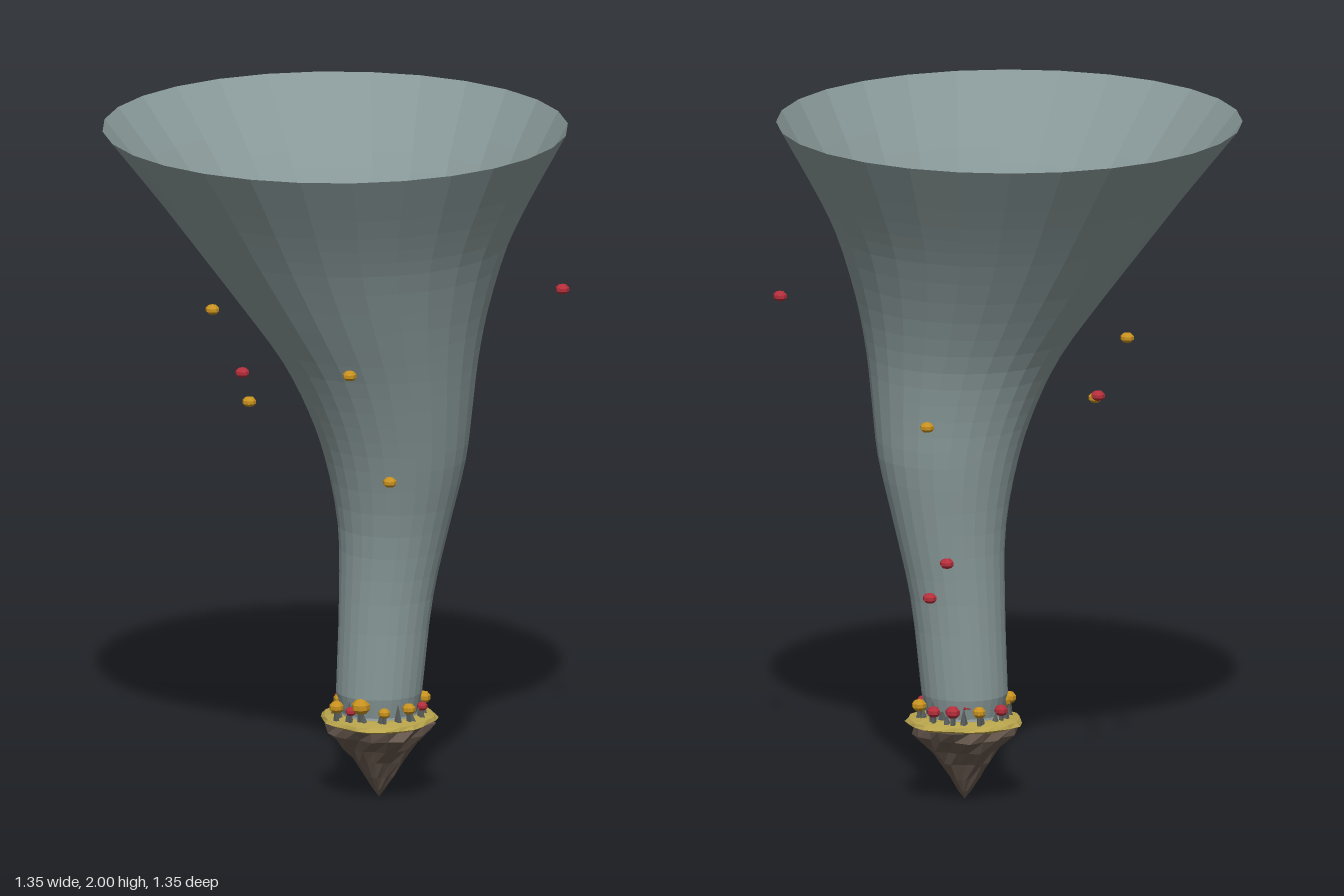
import * as THREE from 'three';

const mat = (name, color, extra = {}) =>
  new THREE.MeshStandardMaterial({ name, color, flatShading: true, ...extra });

const CX = 0.12, CZ = -0.055; // axis of the island

// Closed rings [y, centre x, centre z, radius] joined into a tube
function loft(rings, sides, wobble = () => 1) {
  const pos = [], idx = [];
  rings.forEach(([y, cx, cz, r], i) => {
    for (let j = 0; j < sides; j++) {
      const a = (j / sides) * Math.PI * 2, k = r * wobble(a, i);
      pos.push(cx + Math.sin(a) * k, y, cz + Math.cos(a) * k);
    }
  });
  for (let i = 0; i < rings.length - 1; i++) {
    for (let j = 0; j < sides; j++) {
      const a = i * sides + j, b = i * sides + (j + 1) % sides;
      idx.push(a, b, b + sides, a, b + sides, a + sides);
    }
  }
  const g = new THREE.BufferGeometry();
  g.setAttribute('position', new THREE.Float32BufferAttribute(pos, 3));
  g.setIndex(idx);
  g.computeVertexNormals();
  return g;
}

export function createModel() {
  const model = new THREE.Group();
  const vapour = mat('greyVapour', 0x8a9a9a, { side: THREE.DoubleSide });
  const pale = mat('paleFloor', 0xa0abab);
  const rock = mat('brownRock', 0x66574d);
  const sand = mat('yellowGround', 0xb8a44c);
  const red = mat('red', 0xb52f3c);
  const gold = mat('gold', 0xc8921f);
  const stone = mat('darkStone', 0x565b59);

  const add = (name, geometry, material, x = 0, y = 0, z = 0, parent = model) => {
    const m = new THREE.Mesh(geometry, material);
    m.name = name;
    m.position.set(x, y, z);
    parent.add(m);
    return m;
  };
  const group = (name) => {
    const g = new THREE.Group();
    g.name = name;
    model.add(g);
    return g;
  };

  // Leaning funnel: y, centre x, centre z, radius
  const keys = [
    [0.316, 0.12, -0.055, 0.125], [0.6, 0.14, -0.06, 0.137], [0.81, 0.162, -0.06, 0.162],
    [1.015, 0.17, -0.045, 0.205], [1.157, 0.158, -0.025, 0.237], [1.31, 0.132, -0.005, 0.283],
    [1.475, 0.09, 0.005, 0.357], [1.67, 0.045, 0.005, 0.46], [1.8, 0.026, 0.003, 0.54],
    [2, 0, 0, 0.674],
  ];
  const centre = new THREE.CatmullRomCurve3(keys.map(k => new THREE.Vector3(k[1], k[0], k[2])));
  const radius = new THREE.CatmullRomCurve3(keys.map(k => new THREE.Vector3(k[3], k[0], 0)));
  const rings = [[0.25, 0.12, -0.055, 0.11]];
  for (let i = 0; i <= 27; i++) {
    const c = centre.getPoint(i / 27), r = radius.getPoint(i / 27);
    rings.push([c.y, c.x, c.z, r.x]);
  }
  add('funnel', loft(rings, 28), vapour);

  // Floor inside the funnel with a bare patch of rock
  add('funnelFloor', new THREE.CylinderGeometry(0.112, 0.112, 0.008, 28), pale, CX, 0.256, CZ);
  const patch = add('rockPatch', new THREE.CylinderGeometry(0.045, 0.045, 0.006, 7), rock, 0.085, 0.261, 0);
  patch.scale.x = 0.85;

  // Floating island: ragged ground slab over a pointed rock
  const ragged = (a, i) => 1 + 0.045 * Math.sin(3 * a + 1) + 0.03 * Math.sin(7 * a + i);
  add('islandGround', loft([
    [0.212, CX, CZ, 0], [0.218, CX, CZ, 0.135], [0.232, CX, CZ, 0.168],
    [0.243, CX, CZ, 0.16], [0.252, CX, CZ, 0.125], [0.252, CX, CZ, 0],
  ], 24, ragged), sand);
  const craggy = (a, i) => 1 + 0.07 * Math.sin(4 * a + i * 1.3) + 0.06 * Math.sin(9 * a - i * 2.1);
  add('islandRock', loft([
    [0, CX, CZ, 0], [0.025, CX, CZ, 0.018], [0.065, CX, CZ, 0.043], [0.115, CX, CZ, 0.075],
    [0.155, CX, CZ, 0.105], [0.195, CX, CZ, 0.142], [0.225, CX, CZ, 0.148], [0.226, CX, CZ, 0],
  ], 20, craggy), rock);

  // Rounded lumps growing on the island: x, y, z, size, colour
  const lump = new THREE.SphereGeometry(1, 8, 5);
  const lumps = group('islandLumps');
  [
    [0.075, 0.335, -0.08, 0.032, red], [0.095, 0.3, -0.145, 0.03, red], [0.18, 0.29, -0.085, 0.028, red],
    [0.095, 0.29, -0.095, 0.028, gold], [0.17, 0.29, -0.13, 0.026, gold], [0.165, 0.285, 0, 0.026, gold],
    [0.05, 0.28, -0.015, 0.024, gold], [0.015, 0.29, -0.035, 0.026, gold], [0.085, 0.295, 0.065, 0.028, gold],
    [0.155, 0.28, 0.075, 0.018, gold], [0.22, 0.285, 0.03, 0.02, gold], [0.01, 0.285, 0.04, 0.022, gold],
    [0.055, 0.28, 0.065, 0.016, red], [0.25, 0.28, -0.03, 0.016, red], [0.24, 0.285, -0.12, 0.022, gold],
    [0.185, 0.28, -0.175, 0.02, red], [0.125, 0.285, -0.19, 0.022, red], [0.05, 0.285, -0.175, 0.02, gold],
    [0.0, 0.28, -0.11, 0.02, red], [0.205, 0.265, -0.025, 0.009, gold], [0.185, 0.262, 0.03, 0.006, gold],
  ].forEach(([x, y, z, s, m]) => {
    add('lump', lump, m, x, y, z, lumps).scale.set(s, s * 0.85, s);
    // Short stalk under each lump
    add('stalk', new THREE.CylinderGeometry(s * 0.3, s * 0.4, y - 0.245, 5), stone, x, (y + 0.245) / 2, z, lumps);
  });

  // Stone spikes around the rim and inside
  const spikes = group('stoneSpikes');
  for (let i = 0; i < 16; i++) {
    const a = (i / 16) * Math.PI * 2 + 0.2, h = 0.045 + 0.02 * Math.sin(i * 2.4);
    add('spike', new THREE.ConeGeometry(0.013, h, 5), stone,
      CX + Math.sin(a) * 0.128, 0.245 + h / 2, CZ + Math.cos(a) * 0.128, spikes);
  }
  [[0.16, -0.155], [0.095, -0.02], [0.14, -0.1]].forEach(([x, z]) =>
    add('innerSpike', new THREE.ConeGeometry(0.016, 0.06, 6), stone, x, 0.285, z, spikes));

  // Small pieces circling in the air
  const bits = group('floatingPieces');
  const bit = new THREE.SphereGeometry(0.021, 8, 5);
  [
    [0.635, 1.495, -0.195, red], [-0.38, 1.41, -0.14, gold], [0.095, 1.35, 0.35, gold],
    [-0.29, 1.23, -0.123, red], [-0.245, 1.185, 0.04, gold], [0.15, 1.18, -0.42, gold],
    [0.205, 1.025, 0.3, gold], [0.1, 0.77, -0.38, red], [0.155, 0.66, -0.36, red],
  ].forEach(([x, y, z, m]) => { add('floatingPiece', bit, m, x, y, z, bits).scale.y = 0.75; });

  return model;
}
